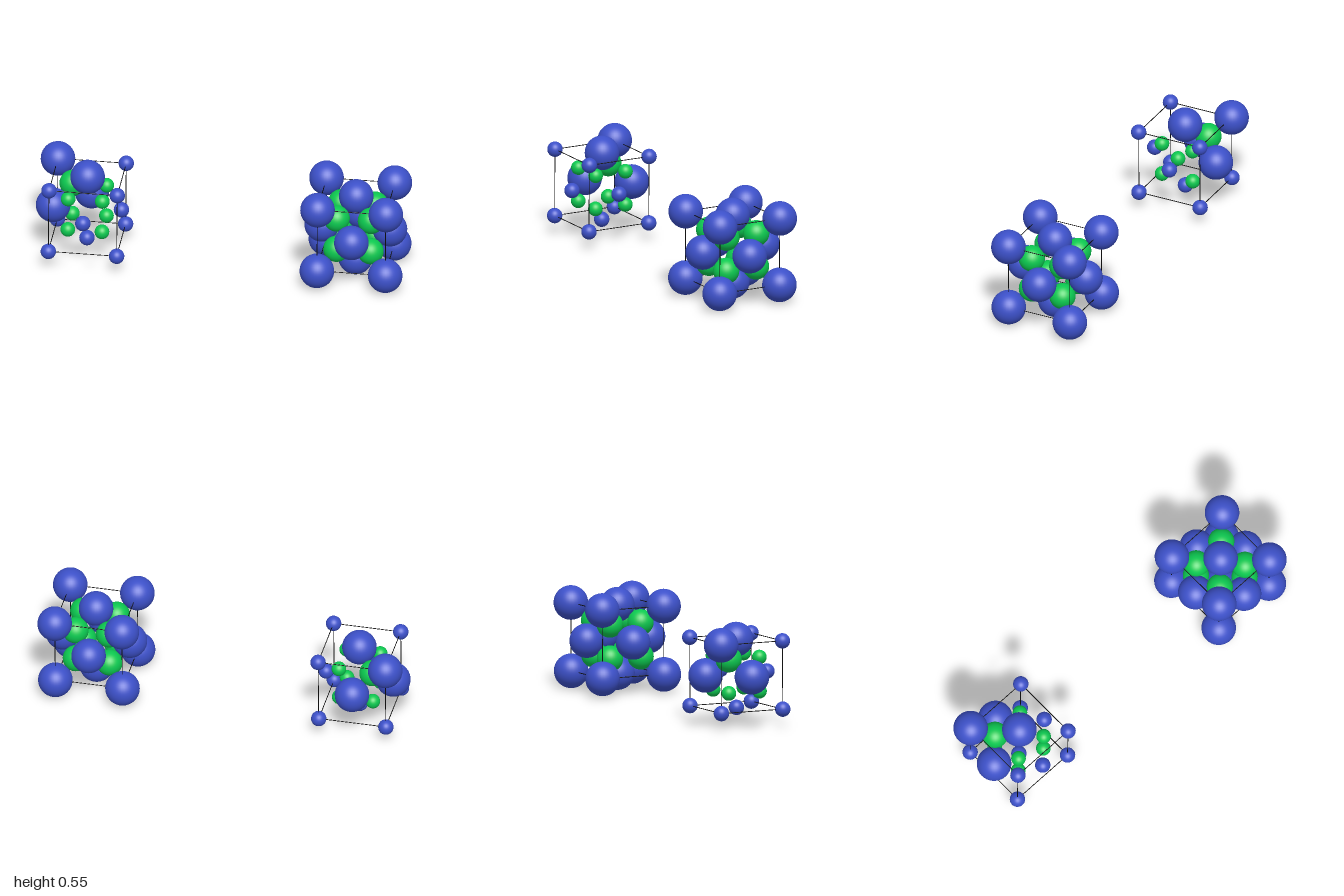
import * as THREE from 'three';

const H = 0.183; // half the cell edge
const blue = new THREE.MeshStandardMaterial({ color: 0x3c50c8 });
const green = new THREE.MeshStandardMaterial({ color: 0x0cc850 });
const black = new THREE.MeshStandardMaterial({ color: 0x0a0a0a });

const ball = (r) => new THREE.SphereGeometry(r, 36, 24);
const bigBlue = ball(0.092), smallBlue = ball(0.041);
const bigGreen = ball(0.07), smallGreen = ball(0.039);
const rod = new THREE.CylinderGeometry(0.0022, 0.0022, 2 * H, 8);

// isBig decides, from a position in cell units (-1..1), which atoms are drawn full size
function unitCell(name, x, isBig) {
  const cell = new THREE.Group();
  cell.name = name;
  const add = (part, geometry, material, p) => {
    const mesh = new THREE.Mesh(geometry, material);
    mesh.name = part;
    mesh.position.set(...p).multiplyScalar(H);
    cell.add(mesh);
    return mesh;
  };
  const addBlue = (part, p) => add(part, isBig(...p) ? bigBlue : smallBlue, blue, p);

  // Eight corner atoms, and eight inner atoms halfway towards them
  for (const i of [-1, 1]) for (const j of [-1, 1]) for (const k of [-1, 1]) {
    addBlue('cornerAtom', [i, j, k]);
    add('innerAtom', isBig(i, j, k) ? bigGreen : smallGreen, green, [i / 2, j / 2, k / 2]);
  }

  for (let axis = 0; axis < 3; axis++) {
    // One atom in the middle of each face
    for (const s of [-1, 1]) {
      const p = [0, 0, 0];
      p[axis] = s;
      addBlue('faceAtom', p);
    }
    // Four frame edges along this axis
    for (const a of [-1, 1]) for (const b of [-1, 1]) {
      const p = [0, 0, 0];
      p[(axis + 1) % 3] = a;
      p[(axis + 2) % 3] = b;
      const edge = add('frameEdge', rod, black, p);
      if (axis === 0) edge.rotation.z = Math.PI / 2;
      if (axis === 2) edge.rotation.x = Math.PI / 2;
    }
  }

  cell.position.set(x, 0.278, 0);
  cell.rotation.set(0, 0.02, -0.01);
  return cell;
}

export function createModel() {
  const model = new THREE.Group();
  model.name = 'crystalCells';
  // Only the atoms of one tetrahedron around the upper back corner are full size
  const inTetrahedron = (x, y, z) => x <= 0 && y >= 0 && z <= 0;
  model.add(unitCell('tetrahedronCell', -0.723, inTetrahedron));
  model.add(unitCell('packedCell', 0.72, () => true));
  return model;
}
